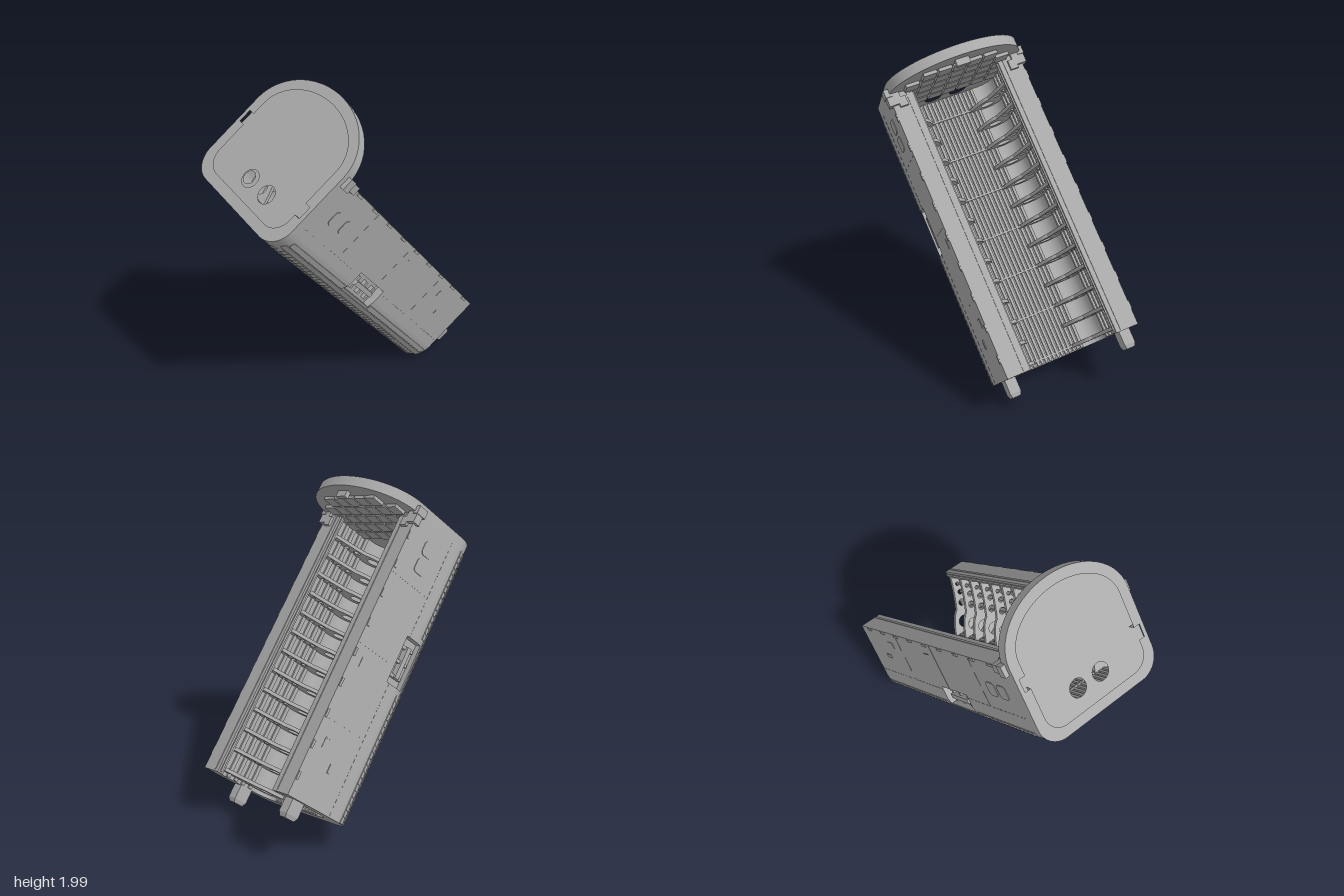
import * as THREE from 'three';
import { mergeGeometries, toCreasedNormals } from 'three/addons/utils/BufferGeometryUtils.js';

// Local frame: x across the channel, y from floor to rim, z along it towards the lid.
const HALF = 0.4235, BASE = 0.305, RIM = 0.832, R = 0.14, LEN = 1.782;
const PI = Math.PI;

export function createModel() {
  const gray = new THREE.MeshStandardMaterial({ color: 0xaaaaaa });
  gray.name = 'gray';
  const group = new THREE.Group();
  group.name = 'channelCase';

  const add = (name, geo) => {
    const mesh = new THREE.Mesh(geo, gray);
    mesh.name = name;
    group.add(mesh);
  };
  const box = (x, y, z, w, h, d) => new THREE.BoxGeometry(w, h, d).translate(x, y, z);
  const extrude = (shape, depth, z) => toCreasedNormals(
    new THREE.ExtrudeGeometry(shape, { depth, bevelEnabled: false, curveSegments: 14 }), 0.5).translate(0, 0, z);
  const circle = (x, y, r) => new THREE.Path().absarc(x, y, r, 0, 2 * PI, true);

  // U-shaped shell, with a side slot cut in the middle section
  const shellShape = (slot) => {
    const s = new THREE.Shape();
    const a = slot ? 0.404 : 0;
    s.moveTo(HALF, RIM);
    s.lineTo(HALF, 0.52);
    if (slot) {
      s.lineTo(HALF - 0.05, 0.52);
      s.lineTo(HALF - 0.05, 0.39);
    }
    s.absarc(HALF - R, BASE + R, R, -a, -PI / 2, true);
    s.absarc(-HALF + R, BASE + R, R, -PI / 2, -PI + a, true);
    if (slot) {
      s.lineTo(-HALF + 0.05, 0.39);
      s.lineTo(-HALF + 0.05, 0.52);
    }
    s.lineTo(-HALF, 0.52);
    s.lineTo(-HALF, RIM);
    s.lineTo(-0.28, RIM);
    s.lineTo(-0.28, 0.79);
    s.lineTo(-0.325, 0.76);
    s.absarc(-0.225, 0.5, 0.1, PI, PI * 1.5, false);
    s.absarc(0.225, 0.5, 0.1, -PI / 2, 0, false);
    s.lineTo(0.325, 0.76);
    s.lineTo(0.28, 0.79);
    s.lineTo(0.28, RIM);
    return s;
  };
  const SLOT0 = 0.84, SLOT1 = 1.14;
  add('shellLower', extrude(shellShape(false), SLOT0, 0));
  add('shellMiddle', extrude(shellShape(true), SLOT1 - SLOT0, SLOT0));
  add('shellUpper', extrude(shellShape(false), LEN - SLOT1, SLOT1));

  // Staggered scales wrapping the rounded underside
  const wrap = new THREE.Path();
  wrap.absarc(HALF - R, BASE + R, R, -0.25, -PI / 2, true);
  wrap.absarc(-HALF + R, BASE + R, R, -PI / 2, -PI + 0.25, true);
  const scales = [], rows = 24, cols = 44, pitch = LEN / cols;
  for (let i = 0; i < rows; i++) {
    const t = (i + 0.5) / rows;
    const p = wrap.getPointAt(t), d = wrap.getTangentAt(t);
    for (let j = 0; j < cols; j++) {
      const z = (j + (i % 2 ? 0.5 : 0.95)) * pitch;
      const inSlot = z > SLOT0 - 0.02 && z < SLOT1 + 0.02 && p.y > 0.37;
      if (inSlot || z > LEN - 0.015) continue;
      scales.push(new THREE.BoxGeometry(0.034, 0.006, pitch * 0.9)
        .rotateX(0.08).rotateZ(Math.atan2(d.y, d.x)).translate(p.x, p.y, z));
    }
  }
  add('undersideScales', mergeGeometries(scales));

  // Inner gussets with lightening holes
  const gusset = new THREE.Shape();
  gusset.moveTo(0.12, 0.39);
  gusset.lineTo(0.13, 0.415);
  gusset.quadraticCurveTo(0.17, 0.54, 0.215, 0.57);
  gusset.quadraticCurveTo(0.25, 0.66, 0.278, 0.79);
  gusset.lineTo(0.34, 0.79);
  gusset.lineTo(0.34, 0.45);
  gusset.lineTo(0.28, 0.39);
  gusset.holes.push(circle(0.23, 0.475, 0.04), circle(0.272, 0.6, 0.022), circle(0.295, 0.67, 0.017), circle(0.3, 0.73, 0.012));
  const gussets = [];
  for (let i = 0; i < 13; i++) {
    const g = extrude(gusset, 0.022, 0.024 + i * 0.134);
    gussets.push(g, g.clone().rotateY(PI).translate(0, 0, 2 * (0.035 + i * 0.134)));
  }
  add('gussets', mergeGeometries(gussets));

  // Floor slats, cross bars and wall rails
  const slats = [];
  for (let i = -7; i <= 7; i++) slats.push(box(i * 0.027, 0.404, LEN / 2, 0.017, 0.018, LEN - 0.01));
  for (let i = 0; i < 7; i++) slats.push(box(0, 0.412, 0.035 + i * 0.268, 0.3, 0.016, 0.012));
  for (const s of [-1, 1]) {
    for (const y of [0.54, 0.6, 0.66, 0.72]) slats.push(box(s * 0.322, y, LEN / 2, 0.018, 0.025, LEN - 0.01));
    slats.push(box(s * 0.278, 0.812, LEN / 2, 0.014, 0.014, LEN - 0.02));
    slats.push(box(s * 0.315, RIM, LEN / 2, 0.014, 0.008, LEN - 0.02));
  }
  add('innerSlats', mergeGeometries(slats));

  // Lid outline: rounded rectangle below, half ellipse above
  const lidShape = (Type, i, notch) => {
    const s = new Type(), h = HALF - i, b = BASE + i, r = R - i * 0.5;
    s.moveTo(h, 0.83);
    s.lineTo(h, 0.8);
    if (notch) for (const [x, y] of [[h, 0.6], [h + 0.04, 0.6], [h + 0.04, 0.52], [h, 0.52]]) s.lineTo(x, y);
    s.absarc(h - r, b + r, r, 0, -PI / 2, true);
    s.absarc(-h + r, b + r, r, -PI / 2, -PI, true);
    if (notch) for (const [x, y] of [[-h, 0.67], [-h - 0.04, 0.67], [-h - 0.04, 0.75], [-h, 0.75]]) s.lineTo(x, y);
    s.lineTo(-h, 0.83);
    s.absellipse(0, 0.83, h, 0.314 - i, PI, 0, true, 0);
    return s;
  };
  const plate = lidShape(THREE.Shape, 0, false);
  plate.holes.push(circle(0.083, 0.483, 0.055), circle(-0.083, 0.483, 0.055));
  add('lidPlate', extrude(plate, 0.02, LEN));
  const ring = lidShape(THREE.Shape, 0, false);
  ring.holes.push(lidShape(THREE.Path, 0.065, true));
  add('lidRim', extrude(ring, 0.045, LEN + 0.02));

  // Padded grid on the inside of the lid
  const pads = [];
  for (let i = -3; i <= 3; i++) for (let j = 0; j < 5; j++) {
    const x = i * 0.096, y = 0.6 + j * 0.096;
    const side = (Math.abs(x) + 0.04) / 0.37, rise = Math.max(0, y + 0.04 - 0.83) / 0.27;
    if (side * side + rise * rise < 1) pads.push(box(x, y, LEN - 0.008, 0.084, 0.084, 0.024));
  }
  add('lidPads', mergeGeometries(pads));
  add('lidLatch', box(0, 1.07, LEN - 0.018, 0.085, 0.03, 0.045));

  // Clips joining the lid to both rims
  const clips = [];
  for (const s of [-1, 1]) {
    clips.push(box(s * 0.405, 0.825, 1.75, 0.08, 0.05, 0.08));
    clips.push(box(s * 0.43, 0.82, 1.79, 0.04, 0.07, 0.05));
    clips.push(box(s * 0.36, 0.835, 1.72, 0.05, 0.03, 0.06));
  }
  add('lidClips', mergeGeometries(clips));

  // Connector tabs at the open end
  for (const [x, y] of [[0.355, 0.56], [-0.355, 0.715]]) {
    const base = box(x, y, -0.04, 0.068, 0.09, 0.09).toNonIndexed();
    const tip = new THREE.CylinderGeometry(0.048, 0.0637, 0.025, 4, 1, false, PI / 4).rotateX(-PI / 2)
      .scale(0.755, 1, 1).translate(x, y, -0.0975).toNonIndexed();
    tip.computeVertexNormals();
    add('endTab', mergeGeometries([base, tip]));
  }

  // Side wall details: square hatches, seams, vents, rim bumps and slot bars
  const hatch = new THREE.Shape();
  hatch.moveTo(0.045, 0.02);
  hatch.lineTo(0.045, 0.021);
  hatch.absarc(0.02, 0.02, 0.025, 0.04, PI / 2, false);
  hatch.absarc(-0.02, 0.02, 0.025, PI / 2, PI, false);
  hatch.absarc(-0.02, -0.02, 0.025, PI, PI * 1.5, false);
  hatch.absarc(0.02, -0.02, 0.025, -PI / 2, 0, false);
  const hatchGeo = extrude(hatch, 0.008, -0.004);
  for (const s of [-1, 1]) {
    const X = s * HALF;
    const parts = [1.527, 1.641].map((z) => hatchGeo.clone().rotateY(s * PI / 2).translate(X, 0.643, z));
    for (const z of [0.48, 0.94, 1.4]) parts.push(box(X, 0.667, z, 0.002, 0.32, 0.003));
    for (let i = 0; i < 44; i++) {
      const z = (i + 0.5) * pitch;
      if (z < SLOT0 || z > SLOT1) parts.push(box(X, 0.5, z, 0.003, 0.004, pitch * 0.6));
    }
    parts.push(box(X, 0.637, 0.237, 0.01, 0.025, 0.055));
    parts.push(box(X, 0.755, 0.35, 0.006, 0.006, 0.06), box(X, 0.735, 0.38, 0.006, 0.04, 0.006));
    parts.push(box(X, 0.755, 0.85, 0.006, 0.006, 0.06));
    for (let i = 0; i < 9; i++) parts.push(box(X, 0.822, 0.12 + i * 0.19, 0.012, 0.016, 0.05));
    parts.push(box(s * (HALF - 0.035), 0.455, 0.99, 0.05, 0.03, 0.2));
    for (const z of [0.9, 0.99, 1.08]) parts.push(box(s * (HALF - 0.045), 0.455, z, 0.04, 0.09, 0.02));
    add(s > 0 ? 'leftWallDetails' : 'rightWallDetails',
      mergeGeometries(parts.map((g) => (g.index ? g.toNonIndexed() : g))));
  }

  // Lean the whole case: down-slope axis with a slight roll
  const axis = new THREE.Vector3(0.66, -0.752, 0).normalize();
  const side = new THREE.Vector3(-axis.y, axis.x, 0);
  const zAxis = new THREE.Vector3(0, 0, 1);
  const roll = 0.279, c = Math.cos(roll), k = Math.sin(roll);
  const across = zAxis.clone().multiplyScalar(c).addScaledVector(side, -k);
  const up = side.clone().multiplyScalar(c).addScaledVector(zAxis, k);
  const basis = new THREE.Matrix4().makeBasis(across, up, axis.clone().negate());
  group.quaternion.setFromRotationMatrix(basis);
  group.position.copy(across).multiplyScalar(-0.2005).addScaledVector(axis, 0.215);
  const model = new THREE.Group();
  model.name = 'model';
  model.add(group);
  return model;
}
